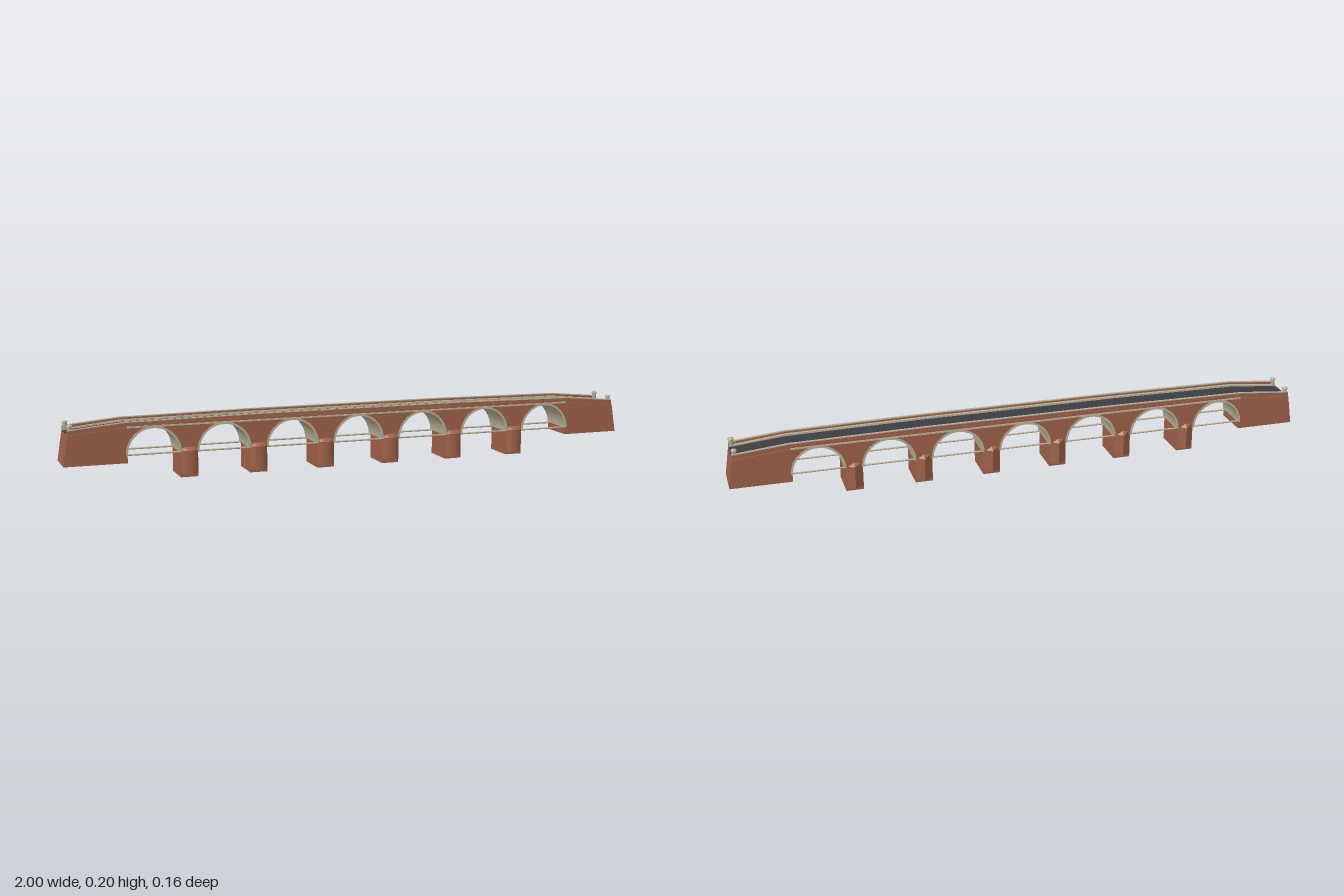
import * as THREE from 'three';

const mat = (name, color) => {
  const m = new THREE.MeshStandardMaterial({ color });
  m.name = name;
  return m;
};

export function createModel() {
  const brick = mat('brick', 0x9c6048);
  const stone = mat('pale stone', 0xb9b098);
  const asphalt = mat('asphalt', 0x3b3d44);
  const bridge = new THREE.Group();
  bridge.name = 'archBridge';

  const add = (name, geo, material, x = 0, y = 0, z = 0) => {
    const mesh = new THREE.Mesh(geo, material);
    mesh.name = name;
    mesh.position.set(x, y, z);
    bridge.add(mesh);
    return mesh;
  };
  // Extrudes an outline in x and y between two z values
  const slab = (name, shape, z0, z1, material) => {
    const geo = new THREE.ExtrudeGeometry(shape, { depth: z1 - z0, bevelEnabled: false, curveSegments: 24 });
    return add(name, geo, material, 0, 0, z0);
  };

  const pitch = 0.236, R = 0.086, spring = 0.085, ring = 0.006;
  const xs = [0.984, 0.8, 0.35];
  // Cambered line: heights at the end, the abutment and the crown
  const camber = (h, d = 0) => [
    ...xs.map((x, i) => new THREE.Vector2(-x, h[i] + d)),
    ...xs.map((x, i) => new THREE.Vector2(x, h[i] + d)).reverse(),
  ];
  const band = (low, high) => new THREE.Shape([...camber(low), ...camber(high).reverse()]);

  const bodyTop = [0.16, 0.175, 0.178];
  const bed = bodyTop.map((y) => y - 0.001);
  const roadTop = [0.162, 0.179, 0.184];
  const walkTop = [0.166, 0.185, 0.19];
  const wallTop = [0.174, 0.191, 0.196];
  const capTop = wallTop.map((y) => y + 0.003);

  // Brick spandrels and abutments with seven arch openings
  const body = new THREE.Shape();
  const edge = 3 * pitch + R + ring;
  body.moveTo(-1, 0.06);
  body.lineTo(-0.794, 0.06);
  body.lineTo(-0.794, spring);
  body.lineTo(-edge, spring);
  for (let i = -3; i <= 3; i++) {
    body.lineTo(i * pitch - R - ring, spring);
    body.absarc(i * pitch, spring, R + ring, Math.PI, 0, true);
  }
  body.lineTo(0.794, spring);
  body.lineTo(0.794, 0.06);
  body.lineTo(1, 0.06);
  camber(bodyTop).reverse().forEach((p) => body.lineTo(p.x, p.y));
  slab('archBody', body, -0.064, 0.064, brick);

  // Pale stone vault linings, showing as thin rings on both faces
  for (let i = -3; i <= 3; i++) {
    const s = new THREE.Shape();
    s.absarc(i * pitch, spring, R + ring, 0, Math.PI, false);
    s.absarc(i * pitch, spring, R - 0.001, Math.PI, 0, true);
    slab('archLining', s, -0.0655, 0.0655, stone);
  }

  // Cutwater: plan outline raised straight, then sloped back to the pier
  const cutwater = (plan) => {
    const rings = [[0.012, 1], [0.09, 1], [0.103, 0.25]].map(([y, k]) =>
      plan.map(([x, z]) => [x, y, 0.058 + z * k]));
    const pos = [];
    const tri = (...p) => p.forEach((v) => pos.push(...v));
    for (let r = 0; r < 2; r++) {
      for (let j = 0; j < plan.length - 1; j++) {
        const a = rings[r][j], b = rings[r][j + 1], c = rings[r + 1][j + 1], d = rings[r + 1][j];
        tri(a, b, c, a, c, d);
      }
    }
    for (let j = 1; j < plan.length - 1; j++) {
      tri(rings[0][0], rings[0][j + 1], rings[0][j]);
      tri(rings[2][0], rings[2][j], rings[2][j + 1]);
    }
    const geo = new THREE.BufferGeometry();
    geo.setAttribute('position', new THREE.Float32BufferAttribute(pos, 3));
    geo.computeVertexNormals();
    return geo;
  };
  const roundPlan = [];
  for (let j = 0; j <= 12; j++) {
    const a = Math.PI * (1 - j / 12);
    roundPlan.push([0.029 * Math.cos(a), 0.02 * Math.sin(a)]);
  }
  const roundNose = cutwater(roundPlan);
  const pointedNose = cutwater([[-0.029, 0], [0, 0.02], [0.029, 0]]);

  // Piers, rounded at the front and pointed at the back
  for (let i = -2.5; i <= 2.5; i++) {
    const x = i * pitch;
    add('pier', new THREE.BoxGeometry(0.059, 0.09, 0.117), brick, x, 0.045, 0);
    add('roundCutwater', roundNose, brick, x);
    add('pointedCutwater', pointedNose, brick, x).rotation.y = Math.PI;
  }

  // Carriageway
  slab('road', band(bed, roadTop), -0.042, 0.042, asphalt);

  // Pavements, parapets, string courses and tie rods on each side
  const post = new THREE.LatheGeometry([
    [0, 0.155], [0.0075, 0.155], [0.0075, 0.184], [0.0095, 0.186], [0.0095, 0.191], [0, 0.195],
  ].map(([r, y]) => new THREE.Vector2(r, y)), 12);
  for (const s of [-1, 1]) {
    const side = (name, shape, inner, outer, material) =>
      slab(name, shape, Math.min(s * inner, s * outer), Math.max(s * inner, s * outer), material);
    side('pavement', band(bed, walkTop), 0.042, 0.052, stone);
    side('parapet', band(bed, wallTop), 0.052, 0.059, brick);
    side('coping', band(wallTop, capTop), 0.0515, 0.0595, stone);
    add('stringCourse', new THREE.BoxGeometry(1.59, 0.005, 0.004), stone, 0, 0.1765, s * 0.064);
    add('tieRod', new THREE.CylinderGeometry(0.003, 0.003, 1.6, 8), stone, 0, spring, s * 0.055)
      .rotation.z = Math.PI / 2;
    for (const e of [-1, 1]) add('endPost', post, stone, e * 0.975, 0, s * 0.049);
    // Small brick teeth beneath the coping
    for (let i = -26; i <= 26; i++) {
      add('dentil', new THREE.BoxGeometry(0.012, 0.007, 0.004), brick, i * 0.03, 0.184, s * 0.0605);
    }
  }
  return bridge;
}
